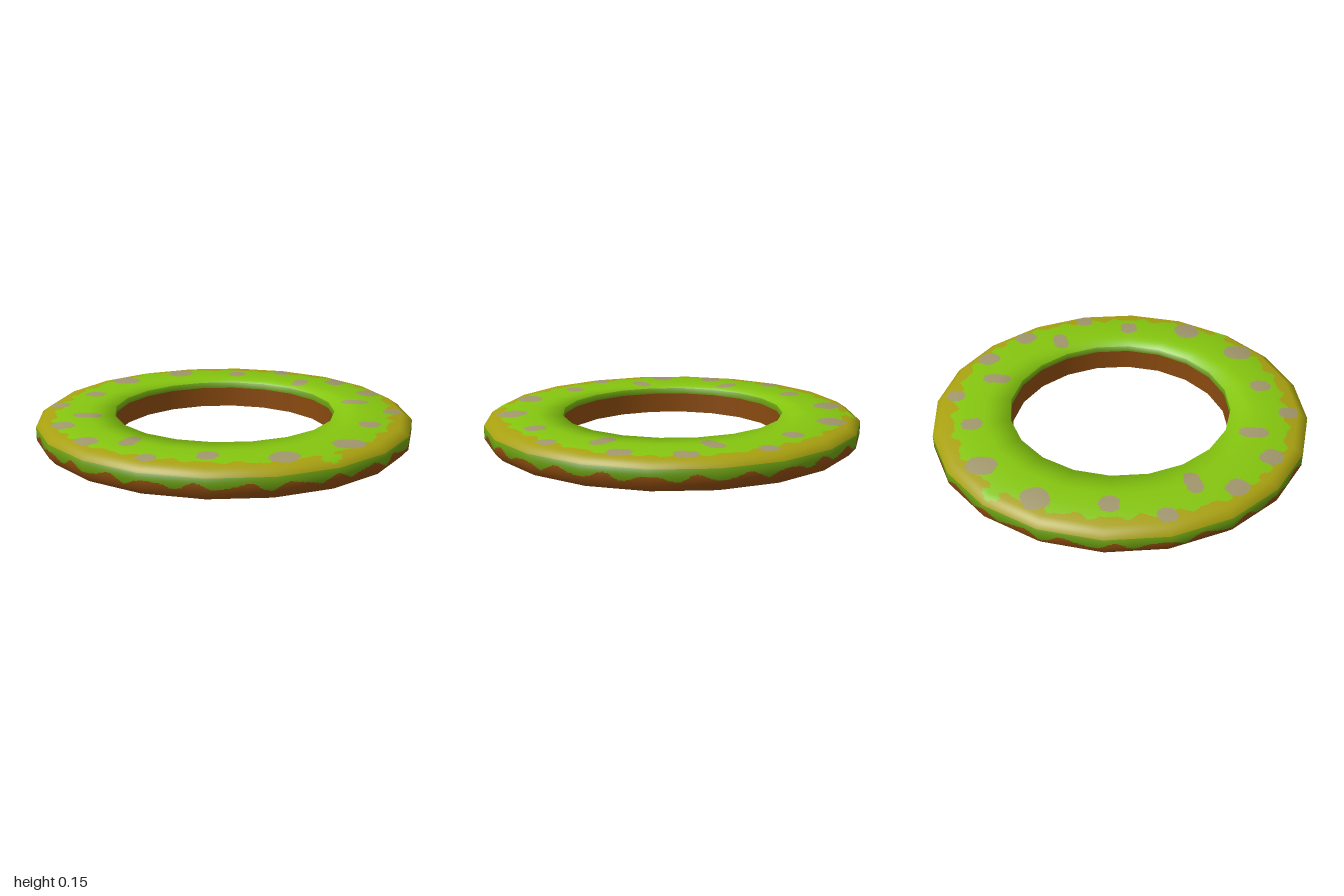
import * as THREE from 'three';

const SIDES = 20;       // flat sides of the ring
const STEPS = 30;       // paint cells along each side
const COLS = SIDES * STEPS;

// Cross-section [radius, height, cells to the next point], from the inner foot over the top to the outer foot
const PROFILE = [
  [0.59, 0, 1], [0.59, 0.112, 1], [0.59, 0.145, 14], [0.73, 0.147, 26],
  [0.945, 0.147, 5], [1, 0.11, 14], [1, 0.04, 1], [0.965, 0, 0],
];

// Pale patches in one quarter, mirrored to the others: x, z, half length, half width, turn
const PATCHES = [
  [0.185, 0.835, 0.078, 0.068, 0.5], [0.475, 0.635, 0.055, 0.05, 0.8],
  [0.73, 0.52, 0.05, 0.046, 0.6], [0.685, 0.26, 0.078, 0.042, 0.64],
  [0.865, 0.15, 0.055, 0.062, 0],
];

function inPatch(x, z) {
  return PATCHES.some(([px, pz, a, b, turn]) => {
    const dx = Math.abs(x) - px, dz = Math.abs(z) - pz;
    const u = (dx * Math.cos(turn) + dz * Math.sin(turn)) / a;
    const v = (dz * Math.cos(turn) - dx * Math.sin(turn)) / b;
    return Math.abs(u) ** 2.6 + Math.abs(v) ** 2.6 < 1;
  });
}

// Which painted part a cell belongs to
function partAt(segment, r, y, angle, x, z) {
  if (segment === 0 || segment === 6) return 'earthBase';
  if (segment === 1) return 'grassEdge';
  if (segment === 5) {
    const line = 0.065 + 0.014 * Math.cos(28 * angle) + 0.005 * Math.cos(46 * angle);
    return y > line ? 'grassEdge' : 'earthBase';
  }
  if (inPatch(x, z)) return 'stonePatches';
  if (Math.abs(x) / 0.07 + Math.abs(Math.abs(z) - 0.945) / 0.035 < 1) return 'grassTop';
  const rim = 0.905 + 0.012 * Math.cos(4 * angle) + 0.014 * Math.cos(34 * angle) + 0.008 * Math.cos(58 * angle);
  return r > rim ? 'dryRim' : 'grassTop';
}

// Subdivide the profile, blending normals between its points
function profileRows() {
  const seg = PROFILE.slice(1).map(([r, y], i) =>
    new THREE.Vector2(-(y - PROFILE[i][1]), r - PROFILE[i][0]).normalize());
  const normals = PROFILE.map((_, i) => {
    const n = new THREE.Vector2();
    if (i > 0) n.add(seg[i - 1]);
    if (i < seg.length) n.add(seg[i]);
    return n.normalize();
  });
  const rows = [];
  PROFILE.forEach(([r, y, cells], i) => {
    for (let k = 0; k < Math.max(cells, 1); k++) {
      const t = cells ? k / cells : 0;
      const [r2, y2] = PROFILE[Math.min(i + 1, PROFILE.length - 1)];
      const n = normals[i].clone().lerp(normals[Math.min(i + 1, normals.length - 1)], t).normalize();
      rows.push({ segment: i, r: r + (r2 - r) * t, y: y + (y2 - y) * t, n });
    }
  });
  return rows;
}

export function createModel() {
  const group = new THREE.Group();
  group.name = 'ringPlatform';
  const colors = {
    earthBase: ['brown', 0x88490f], grassEdge: ['darkGreen', 0x66960f],
    grassTop: ['brightGreen', 0x84c40f], dryRim: ['olive', 0xa8a010],
    stonePatches: ['taupe', 0xa0966c],
  };

  // Shared grid of points on the twenty-sided ring
  const rows = profileRows();
  const positions = [], normals = [];
  for (const { r, y, n } of rows) {
    for (let c = 0; c <= COLS; c++) {
      const a = (c / COLS) * Math.PI * 2;
      const side = (Math.PI * 2) / SIDES;
      const local = ((c % STEPS) / STEPS - 0.5) * side;
      const f = r * Math.cos(side / 2) / Math.cos(local);
      positions.push(f * Math.sin(a), y, f * Math.cos(a));
      normals.push(n.x * Math.sin(a), n.y, n.x * Math.cos(a));
    }
  }
  const position = new THREE.Float32BufferAttribute(positions, 3);
  const normal = new THREE.Float32BufferAttribute(normals, 3);

  // Sort the cells into parts
  const indices = {};
  for (const name in colors) indices[name] = [];
  for (let i = 0; i < rows.length - 1; i++) {
    for (let c = 0; c < COLS; c++) {
      const a = i * (COLS + 1) + c, b = a + COLS + 1;
      const x = (position.getX(a) + position.getX(b + 1)) / 2;
      const z = (position.getZ(a) + position.getZ(b + 1)) / 2;
      const r = (rows[i].r + rows[i + 1].r) / 2;
      const y = (rows[i].y + rows[i + 1].y) / 2;
      const angle = ((c + 0.5) / COLS) * Math.PI * 2;
      indices[partAt(rows[i].segment, r, y, angle, x, z)].push(a, b, a + 1, b, b + 1, a + 1);
    }
  }

  // One open shell per colour
  for (const [name, [colorName, hex]] of Object.entries(colors)) {
    const geometry = new THREE.BufferGeometry();
    geometry.setAttribute('position', position);
    geometry.setAttribute('normal', normal);
    geometry.setIndex(indices[name]);
    const material = new THREE.MeshStandardMaterial({ color: hex, side: THREE.DoubleSide });
    material.name = colorName;
    const mesh = new THREE.Mesh(geometry, material);
    mesh.name = name;
    group.add(mesh);
  }
  return group;
}
